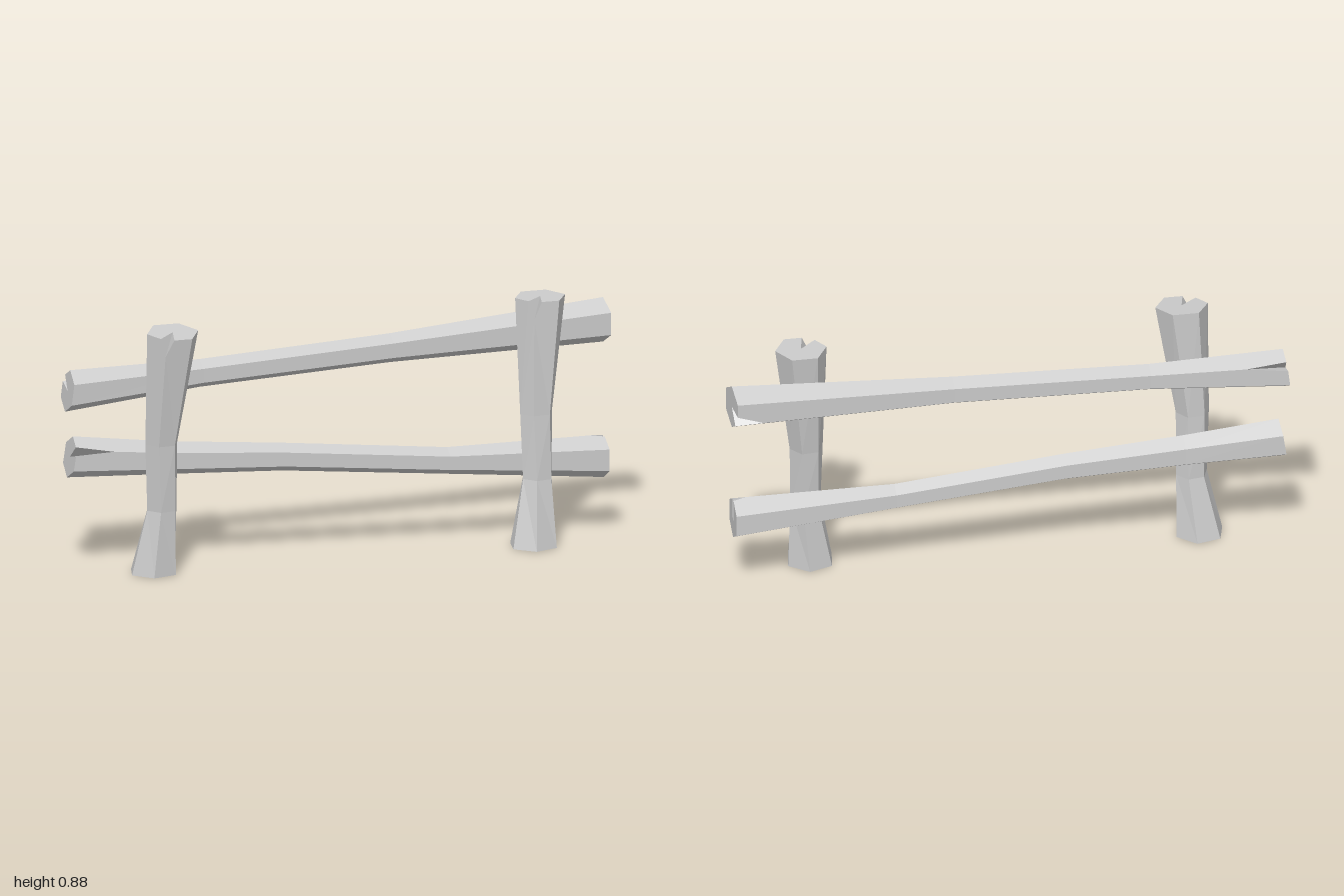
import * as THREE from 'three';

const SIDES = 6;
const X = new THREE.Vector3(1, 0, 0), Y = new THREE.Vector3(0, 1, 0), Z = new THREE.Vector3(0, 0, 1);
const mix = (a, b, t) => a.clone().lerp(b, t);

// Hewn log: hexagonal sections [x, y, z, radius, angle in degrees, tiltU, tiltV] lofted along an axis.
// A notch { k, depth, half, reach } splits corner k of an end.
function logGeometry([axis, U, V], sections, startNotch, endNotch) {
  const pos = [];
  const fan = (points, flip) => {
    for (let i = 1; i < points.length - 1; i++) {
      const [a, b, c] = [points[0], points[i], points[i + 1]];
      for (const p of flip ? [a, c, b] : [a, b, c]) pos.push(p.x, p.y, p.z);
    }
  };

  const rings = sections.map(([x, y, z, r, angle = 0, tu = 0, tv = 0]) =>
    Array.from({ length: SIDES }, (_, i) => {
      const a = THREE.MathUtils.degToRad(angle) + (i / SIDES) * Math.PI * 2;
      const c = Math.cos(a) * r, s = Math.sin(a) * r;
      return new THREE.Vector3(x, y, z).addScaledVector(U, c).addScaledVector(V, s)
        .addScaledVector(axis, c * tu + s * tv);
    }));

  const band = (A, B, flip, skip = []) => {
    for (let j = 0; j < SIDES; j++) {
      const n = (j + 1) % SIDES;
      if (!skip.includes(j)) fan([A[j], A[n], B[n], B[j]], flip);
    }
  };

  // Last stretch of the log with its cap and optional split
  const end = (inner, rim, section, notch, flip) => {
    if (!notch) {
      band(inner, rim, flip);
      fan(rim, flip);
      return;
    }
    const { k, depth, half = 0.3, reach = 1 } = notch;
    const next = (k + 1) % SIDES, prev = (k + SIDES - 1) % SIDES;
    const corner = rim[k];
    const low = mix(corner, inner[k], depth);
    const m = mix(corner, rim[prev], half), p = mix(corner, rim[next], half);
    const apex = mix(corner, new THREE.Vector3(...section.slice(0, 3)), reach);
    band(inner, rim, flip, [k, prev]);
    fan([inner[next], rim[next], p, low, inner[k]], flip);
    fan([inner[prev], inner[k], low, m, rim[prev]], flip);
    const others = Array.from({ length: SIDES - 1 }, (_, i) => rim[(k + 1 + i) % SIDES]);
    fan([apex, p, ...others, m], flip);
    fan([apex, m, low], flip);
    fan([apex, low, p], flip);
  };

  const last = rings.length - 1;
  end(rings[1], rings[0], sections[0], startNotch, true);
  for (let i = 1; i < last - 1; i++) band(rings[i], rings[i + 1], false);
  end(rings[last - 1], rings[last], sections[last], endNotch, false);

  const geometry = new THREE.BufferGeometry();
  geometry.setAttribute('position', new THREE.Float32BufferAttribute(pos, 3));
  geometry.computeVertexNormals();
  return geometry;
}

export function createModel() {
  const group = new THREE.Group();
  const material = new THREE.MeshStandardMaterial({ color: 0xcccccc, flatShading: true });
  const add = (name, ...args) => {
    const mesh = new THREE.Mesh(logGeometry(...args), material);
    mesh.name = name;
    group.add(mesh);
  };
  const upright = [Y, Z, X], lengthwise = [X, Y, Z];

  // Posts: flared at foot and head, split at the top
  const postSplit = { k: 5, depth: 0.15, half: 0.3 };
  add('rightPost', upright, [
    [-0.695, 0, 0.03, 0.088, 45],
    [-0.67, 0.23, 0.048, 0.057, 40],
    [-0.675, 0.47, 0.058, 0.06, 35],
    [-0.642, 0.873, 0.085, 0.093, 30, -0.1],
  ], null, postSplit);
  add('leftPost', upright, [
    [0.675, 0, 0.08, 0.088, 50],
    [0.695, 0.24, 0.06, 0.057, 42],
    [0.695, 0.47, 0.045, 0.06, 36],
    [0.72, 0.877, 0.012, 0.091, 30],
  ], null, postSplit);

  // Rails: slim in the middle, split at both ends
  add('upperRail', lengthwise, [
    [-0.987, 0.658, -0.037, 0.074, 0, 0.13],
    [-0.5, 0.68, -0.055, 0.05],
    [0.2, 0.71, -0.077, 0.052],
    [0.988, 0.741, -0.112, 0.08, 0, 0, 0.12],
  ], { k: 5, depth: 0.3, half: 0.25 }, { k: 4, depth: 0.12, half: 0.4 });
  add('lowerRail', lengthwise, [
    [-0.965, 0.408, -0.08, 0.073, 0, 0.15],
    [-0.62, 0.382, -0.065, 0.059],
    [-0.2, 0.355, -0.055, 0.05],
    [0.4, 0.295, -0.05, 0.048],
    [0.972, 0.267, -0.05, 0.077],
  ], { k: 1, depth: 0.4, half: 0.25 }, { k: 0, depth: 0.08, half: 0.15, reach: 1.95 });

  return group;
}
